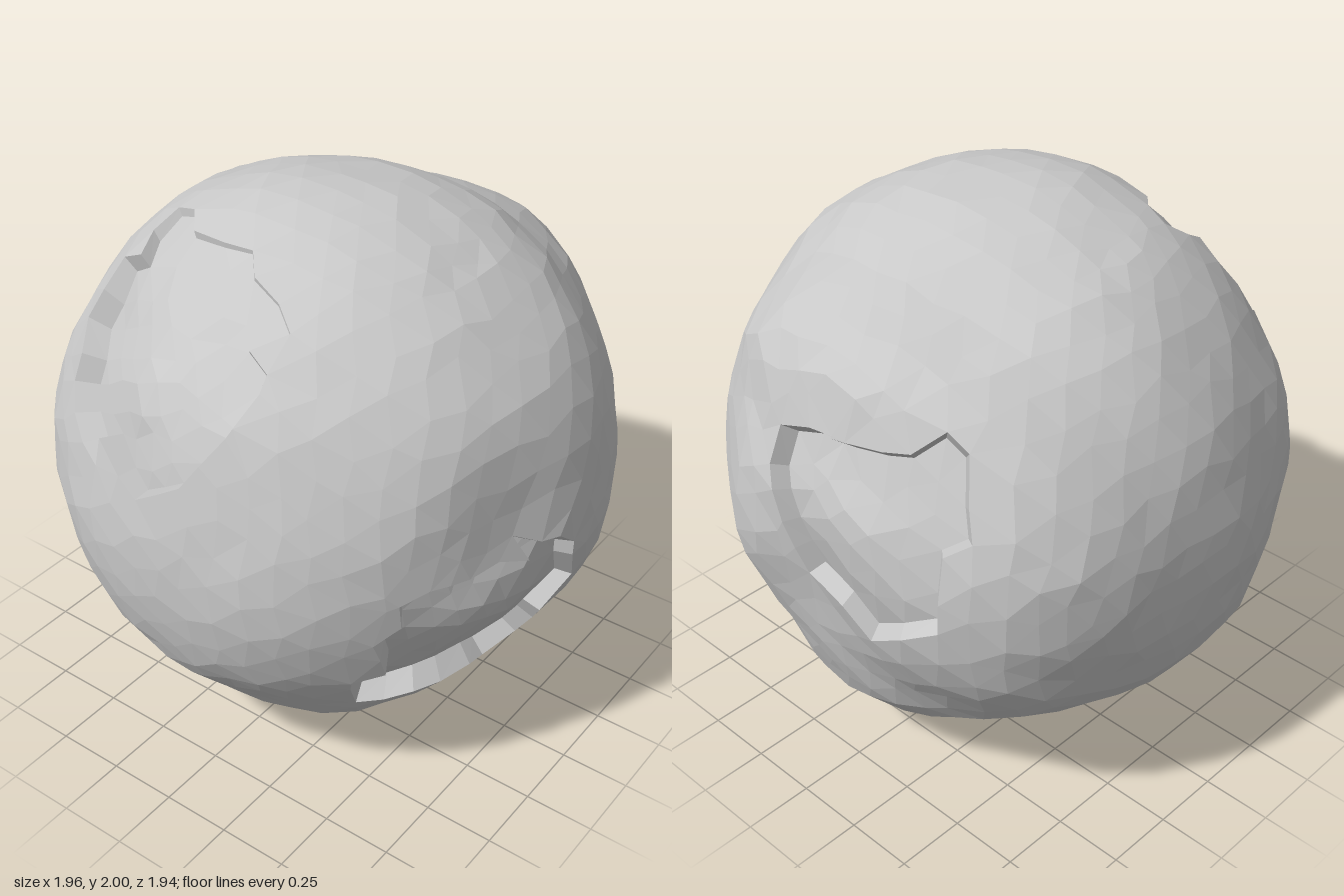
import * as THREE from 'three';
import { mergeVertices } from 'three/addons/utils/BufferGeometryUtils.js';

// Outlines of the rock in its three main planes, measured from its centre
const FRONT = [[0, 1], [.25, .99], [.5, .87], [.7, .73], [.87, .52], [.97, .2], [.98, 0], [.91, -.3], [.75, -.55], [.55, -.75],
  [.35, -.92], [.1, -1], [-.15, -.97], [-.45, -.82], [-.7, -.65], [-.9, -.48], [-.98, -.15], [-.94, .2], [-.86, .47], [-.71, .7], [-.55, .85], [-.3, .97]];
const SIDE = [[.1, 1], [-.2, .95], [-.5, .82], [-.82, .63], [-.89, .4], [-.96, .18], [-.89, -.1], [-.83, -.5], [-.75, -.7], [-.5, -.87],
  [-.2, -.99], [.1, -1], [.4, -.9], [.7, -.68], [.9, -.42], [.99, -.15], [.94, .2], [.86, .5], [.7, .7], [.5, .86], [.3, .96]];
const TOP = [[-.15, -.97], [.02, -.94], [.27, -.97], [.45, -.85], [.7, -.63], [.86, -.4], [.98, -.05], [.94, .2], [.8, .55], [.6, .78],
  [.3, .94], [0, .97], [-.3, .94], [-.6, .77], [-.85, .51], [-.94, .3], [-.98, 0], [-.94, -.4], [-.87, -.6], [-.72, -.78], [-.5, -.89]];

// Broad swellings and hollows: direction, height, width
const LUMPS = [
  [[-.4, .85, -.4], -.045, .35], [[.35, -.87, .35], .015, .4], [[-.35, -.87, .35], .03, .4], [[-.35, -.87, -.35], -.02, .4],
  [[.7, 0, -.7], .025, .4], [[-.7, 0, -.7], .025, .4], [[-.7, 0, .7], .015, .4], [[.7, 0, .7], -.015, .4],
  [[.92, .13, .32], -.03, .18],
].map(([d, h, w]) => [new THREE.Vector3(...d).normalize(), h, w]);

// Radius of an outline as a function of angle
function polar(points) {
  const table = points.map(([u, v]) => [Math.atan2(v, u), Math.hypot(u, v)]).sort((a, b) => a[0] - b[0]);
  const n = table.length, turn = Math.PI * 2;
  const all = [[table[n - 1][0] - turn, table[n - 1][1]], ...table, [table[0][0] + turn, table[0][1]]];
  return (u, v) => {
    const angle = Math.atan2(v, u);
    let i = 0;
    while (i < n && all[i + 1][0] < angle) i++;
    const [a0, r0] = all[i], [a1, r1] = all[i + 1];
    return r0 + (r1 - r0) * (angle - a0) / (a1 - a0);
  };
}
const frontR = polar(FRONT), sideR = polar(SIDE), topR = polar(TOP);

// Rock surface: the three outlines blended by direction, plus the lumps
function onSurface(dir) {
  const d = dir.clone().normalize();
  const w = (n) => 1 / (n * n + .06) ** 2;
  const wf = w(d.z), ws = w(d.x), wt = w(d.y);
  let r = (wf * frontR(d.x, d.y) + ws * sideR(d.z, d.y) + wt * topR(d.x, d.z)) / (wf + ws + wt);
  for (const [c, h, width] of LUMPS) r += h * Math.exp(-((d.distanceTo(c) / width) ** 2));
  r += .006 * (Math.sin(9 * d.x + 2) * Math.sin(8 * d.y) + Math.sin(11 * d.z + 5 * d.y));
  return d.multiplyScalar(r);
}

// Sunken patches: outline (u, height) on the side of the rock facing an axis
const clamp = THREE.MathUtils.clamp;
const CRATERS = [
  { u: 'x', axis: 'z', sign: 1, depth: .08, mound: .45,
    fade: (u, v) => clamp(1 - (u + .3) * 1.5, .12, 1) * clamp((1 - v) * 2.5, .3, 1),
    outline: [[-.55, .32], [-.34, .2], [-.25, .27], [-.1, .2], [.07, .3], [.2, .5], [.25, .62], [.2, .75], [.13, .84], [0, .89], [-.43, .87], [-.46, .76], [-.57, .68]] },
  { u: 'z', axis: 'x', sign: 1, depth: .085, mound: .3, fade: (u) => clamp(.7 + u, .6, 1),
    outline: [[.68, .02], [.45, .01], [.22, .05], [.05, .03], [.04, -.08], [-.03, -.22], [.08, -.34], [.02, -.47], [.1, -.61], [.22, -.56], [.4, -.56], [.59, -.59], [.7, -.4], [.61, -.36], [.74, -.14], [.64, -.12]] },
  { u: 'x', axis: 'z', sign: -1, depth: .06, mound: .5, fade: () => 1,
    outline: [[.12, .45], [.13, .27], [-.02, -.08], [-.34, -.14], [-.57, -.1], [-.57, .22], [-.66, .21], [-.54, .51], [-.16, .45]] },
];
for (const c of CRATERS) {
  const mean = (k) => c.outline.reduce((s, p) => s + p[k], 0) / c.outline.length;
  const mid = new THREE.Vector3();
  mid[c.u] = mean(0);
  mid.y = mean(1);
  mid[c.axis] = c.sign * Math.sqrt(.93 - mid.lengthSq());
  c.centre = onSurface(mid);
}

function inside(c, p) {
  if (p[c.axis] * c.sign < .05) return false;
  const u = p[c.u], v = p.y, o = c.outline;
  let hit = false;
  for (let i = 0, j = o.length - 1; i < o.length; j = i++) {
    if ((o[i][1] > v) !== (o[j][1] > v) && u < (o[j][0] - o[i][0]) * (v - o[i][1]) / (o[j][1] - o[i][1]) + o[i][0]) hit = !hit;
  }
  return hit;
}

// Pull a vertex lying close to a crater outline onto it
function snap(p) {
  for (const c of CRATERS) {
    if (p[c.axis] * c.sign < .05) continue;
    let best = .05, found = null;
    c.outline.forEach(([u0, v0], i) => {
      const [u1, v1] = c.outline[(i + 1) % c.outline.length];
      const du = u1 - u0, dv = v1 - v0;
      const t = clamp(((p[c.u] - u0) * du + (p.y - v0) * dv) / (du * du + dv * dv), 0, 1);
      const q = [u0 + du * t, v0 + dv * t], dist = Math.hypot(q[0] - p[c.u], q[1] - p.y);
      if (dist < best) { best = dist; found = q; }
    });
    if (found) {
      // outline corners win over the edges beside them
      const corner = c.outline.find((o) => Math.hypot(o[0] - p[c.u], o[1] - p.y) < .045);
      [p[c.u], p.y] = corner || found;
      return onSurface(p);
    }
  }
  return p;
}

// Crater floor: sunk, drawn in from the rim, with a low mound in the middle
function sink(c, p) {
  const depth = c.depth * c.fade(p[c.u], p.y);
  const near = Math.max(0, 1 - p.distanceTo(c.centre) / .3);
  const q = p.clone().lerp(c.centre, depth * .9);
  return q.setLength(p.length() - depth * (1 - c.mound * near));
}

function facets(name, points, material) {
  const geometry = new THREE.BufferGeometry().setFromPoints(points);
  geometry.computeVertexNormals();
  const mesh = new THREE.Mesh(geometry, material);
  mesh.name = name;
  mesh.position.y = 1;
  return mesh;
}

export function createModel() {
  const group = new THREE.Group();
  group.name = 'boulder';
  const stone = new THREE.MeshStandardMaterial({ color: 0xc8c8c8 });
  stone.name = 'light grey stone';

  // Slightly irregular ball of facets
  let ball = new THREE.IcosahedronGeometry(1, 9);
  ball.deleteAttribute('normal');
  ball.deleteAttribute('uv');
  ball = mergeVertices(ball, 1e-3);
  const pos = ball.attributes.position, index = ball.index.array;
  const verts = [];
  for (let i = 0; i < pos.count; i++) {
    const d = new THREE.Vector3().fromBufferAttribute(pos, i);
    d.x += .018 * Math.sin(i * 12.9);
    d.y += .018 * Math.sin(i * 78.2 + 1);
    d.z += .018 * Math.sin(i * 37.7 + 2);
    const p = onSurface(d);
    verts.push(snap(p.multiplyScalar(1 + .004 * Math.sin(i * 51.3))));
  }

  // Sort facets into outer rock and craters
  const faces = [], owner = new Map();
  for (let i = 0; i < index.length; i += 3) {
    const ids = [index[i], index[i + 1], index[i + 2]];
    const mid = new THREE.Vector3();
    ids.forEach((k) => mid.addScaledVector(verts[k], 1 / 3));
    const crater = CRATERS.find((c) => inside(c, mid));
    faces.push({ ids, crater });
    ids.forEach((a, k) => owner.set(a + '_' + ids[(k + 1) % 3], crater));
  }

  const skin = [], floors = [], walls = [];
  for (const { ids, crater } of faces) {
    const rim = ids.map((k) => verts[k]);
    if (!crater) { skin.push(...rim); continue; }
    const low = rim.map((p) => sink(crater, p));
    floors.push(...low);
    for (let k = 0; k < 3; k++) {
      const n = (k + 1) % 3;
      if (owner.get(ids[n] + '_' + ids[k]) === crater) continue;
      walls.push(low[n], low[k], rim[k], low[n], rim[k], rim[n]);
    }
  }
  group.add(facets('rockSurface', skin, stone), facets('craterFloors', floors, stone), facets('craterWalls', walls, stone));
  return group;
}
